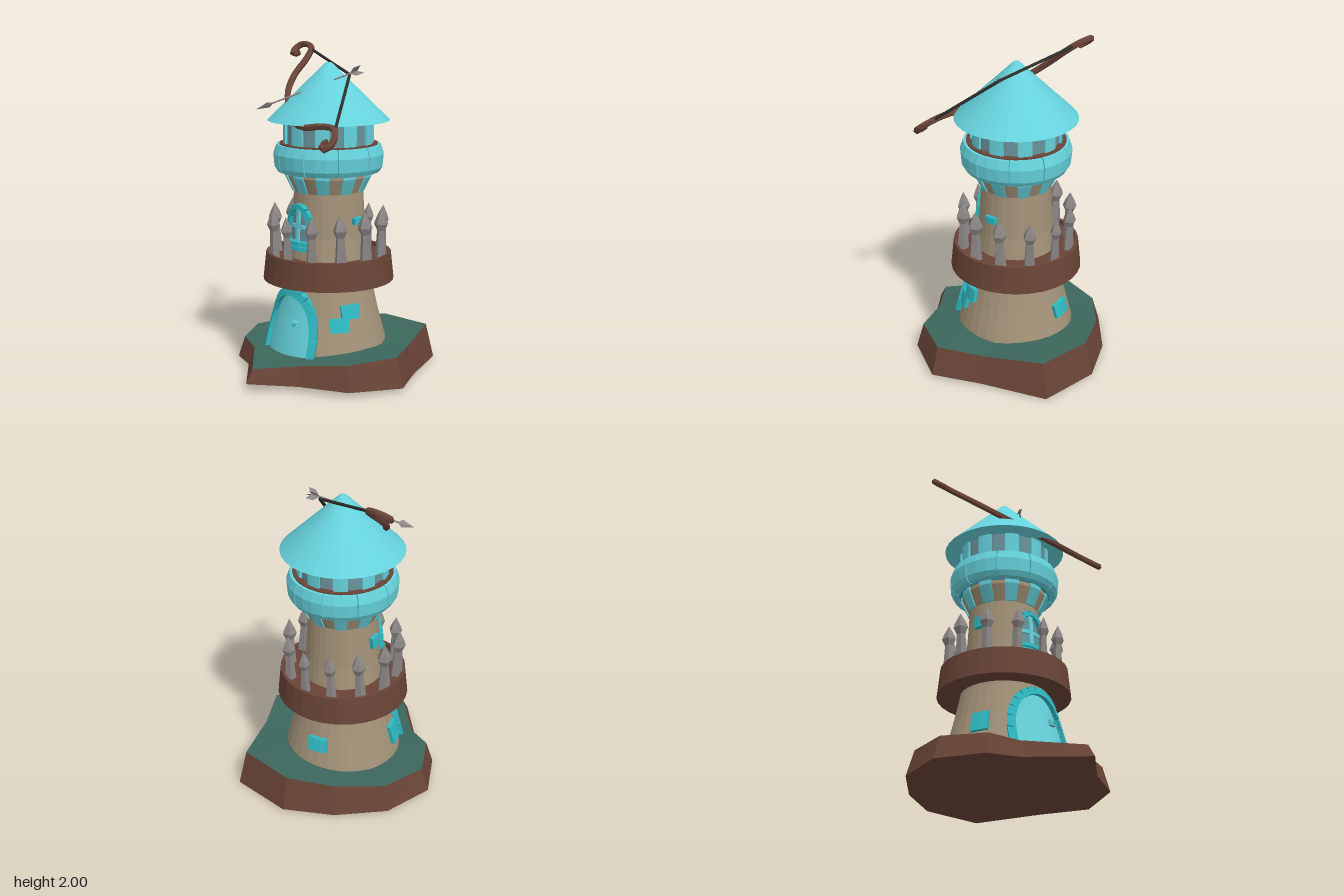
import * as THREE from 'three';
import { ParametricGeometry } from 'three/addons/geometries/ParametricGeometry.js';

const mat = (color) => new THREE.MeshStandardMaterial({ color, flatShading: true, side: THREE.DoubleSide });
const M = {
  cyan: mat(0x66d2dc), teal: mat(0x2fb8c2), stone: mat(0xa39278), brown: mat(0x6a4437),
  grass: mat(0x3c675c), metal: mat(0x8c8686), glass: mat(0x6a939c), cord: mat(0x2e2e2e),
};
const V = (x, y, z) => new THREE.Vector3(x, y, z);

function add(parent, name, geo, material) {
  const m = new THREE.Mesh(geo, material);
  m.name = name;
  parent.add(m);
  return m;
}

// Tower wall: [height, radius]
const wall = [[0.1, 0.375], [0.2, 0.352], [0.38, 0.305], [0.56, 0.265], [0.85, 0.228], [1.12, 0.212], [1.24, 0.22]];
function wallRadius(y) {
  for (let i = 1; i < wall.length; i++) {
    const [y0, r0] = wall[i - 1], [y1, r1] = wall[i];
    if (y <= y1) return r0 + (r1 - r0) * (y - y0) / (y1 - y0);
  }
  return 0.22;
}

// Wraps a flat point (x along the wall, y up, d outwards) onto the tower
function onWall(x, y, d, phi) {
  const r = wallRadius(y), a = phi + x / r;
  return V((r + d) * Math.sin(a), y, (r + d) * Math.cos(a));
}

function wallBox(parent, name, w, h, d, x, y, phi, material, turn = 0, out = 0) {
  const geo = new THREE.BoxGeometry(w, h, d, 3, 1, 1).rotateZ(turn).translate(x, y, out);
  const p = geo.attributes.position;
  for (let i = 0; i < p.count; i++) {
    const q = onWall(p.getX(i), p.getY(i), p.getZ(i), phi);
    p.setXYZ(i, q.x, q.y, q.z);
  }
  geo.computeVertexNormals();
  return add(parent, name, geo, material);
}

// Arched panel with a frame of separate blocks
function archway(parent, name, W, y0, H, phi, panelMat, blocks, thick) {
  const g = new THREE.Group();
  g.name = name;
  parent.add(g);
  const arch = (t) => [-W * Math.cos(t), y0 + H * Math.pow(Math.sin(t), 0.8)];
  add(g, name + 'Panel', new ParametricGeometry((u, v, target) => {
    const [x, y] = arch(Math.max(0, Math.min(1, u)) * Math.PI * 0.9999);
    target.copy(onWall(x, y0 + (y - y0) * v, 0.012, phi));
  }, 20, 8), panelMat);
  for (let i = 0; i < blocks; i++) {
    const [ax, ay] = arch(i / blocks * Math.PI), [bx, by] = arch((i + 1) / blocks * Math.PI * 0.9999);
    const len = Math.hypot(bx - ax, by - ay);
    wallBox(g, name + 'Block', len * 0.95, thick, 0.055, (ax + bx) / 2, (ay + by) / 2, phi, M.teal,
      Math.atan2(by - ay, bx - ax), 0.01);
  }
  return g;
}

// Closed profile swept through part of a turn, with end caps
function sector(parent, name, pts, phi, span, material, steps = 3) {
  const profile = pts.map(([r, y]) => new THREE.Vector2(r, y));
  const g = new THREE.Group();
  g.name = name;
  parent.add(g);
  add(g, name + 'Body', new THREE.LatheGeometry([...profile, profile[0]], steps, phi - span / 2, span), material);
  for (const a of [phi - span / 2, phi + span / 2]) {
    add(g, name + 'End', new THREE.ShapeGeometry(new THREE.Shape(profile)), material).rotation.y = a - Math.PI / 2;
  }
}

// Rocky mound: x, z and top height of each corner, clockwise from above
function mound(parent) {
  const rim = [
    [-0.05, -0.66, 0.21], [0.34, -0.63, 0.22], [0.505, -0.245, 0.185], [0.65, 0.03, 0.2],
    [0.495, 0.33, 0.18], [0.22, 0.46, 0.15], [-0.03, 0.655, 0.12], [-0.32, 0.37, 0.14],
    [-0.5, 0.29, 0.16], [-0.65, 0.03, 0.165], [-0.57, -0.28, 0.17], [-0.335, -0.51, 0.19],
  ];
  const top = rim.map(([x, z, y]) => V(x * 0.925, y, z * 0.925));
  const low = rim.map(([x, z]) => V(x, 0.02 + 0.03 * z, z));
  const mid = V(-0.025, 0.17, -0.04), under = V(0, 0.02, 0);
  const grass = [], rock = [];
  rim.forEach((_, i) => {
    const j = (i + 1) % rim.length;
    grass.push(mid, top[j], top[i]);
    rock.push(low[j], low[i], top[i], low[j], top[i], top[j], under, low[i], low[j]);
  });
  for (const [name, pts, m] of [['grassTop', grass, M.grass], ['rockBase', rock, M.brown]]) {
    const geo = new THREE.BufferGeometry().setFromPoints(pts);
    geo.computeVertexNormals();
    add(parent, name, geo, m);
  }
}

// Bow lies in one slanted plane
const bowPoint = ([x, z]) => V(x, 1.78 - 0.82 * z, z);
function rod(parent, name, a, b, r, material) {
  return add(parent, name, new THREE.TubeGeometry(new THREE.LineCurve3(a, b), 1, r, 6), material);
}

function bow(parent) {
  const g = new THREE.Group();
  g.name = 'bow';
  parent.add(g);
  const path = [
    [-0.42, -0.185], [-0.455, -0.165], [-0.48, -0.2], [-0.455, -0.238], [-0.4, -0.24], [-0.343, -0.215],
    [-0.315, -0.14], [-0.308, -0.035], [-0.26, 0.07], [-0.17, 0.16], [-0.03, 0.257], [0.09, 0.292],
    [0.213, 0.275], [0.318, 0.278], [0.378, 0.327], [0.39, 0.375], [0.36, 0.405], [0.329, 0.38], [0.355, 0.355],
  ].map(bowPoint);
  add(g, 'bowStave', new THREE.TubeGeometry(new THREE.CatmullRomCurve3(path), 54, 0.02, 6), M.brown);
  const nock = bowPoint([0.13, -0.06]);
  rod(g, 'bowString', bowPoint([-0.34, -0.21]), nock, 0.01, M.cord);
  rod(g, 'bowString', nock, bowPoint([0.34, 0.285]), 0.01, M.cord);

  // Arrow built along +y, then turned into place
  const tip = V(-0.275, 1.62, 0.325), tail = V(0.19, 1.86, -0.09);
  const len = tip.distanceTo(tail);
  const arrow = new THREE.Group();
  arrow.name = 'arrow';
  g.add(arrow);
  add(arrow, 'arrowShaft', new THREE.CylinderGeometry(0.005, 0.005, len - 0.05, 6).translate(0, len / 2, 0), M.metal);
  const head = add(arrow, 'arrowHead', new THREE.LatheGeometry(
    [[0, len - 0.11], [0.024, len - 0.08], [0, len]].map((p) => new THREE.Vector2(...p)), 4), M.metal);
  head.scale.z = 0.4;
  const fin = new THREE.Shape([[0, 0.07], [0.035, 0.035], [0.035, -0.01], [0, 0.02]].map((p) => new THREE.Vector2(...p)));
  for (let i = 0; i < 4; i++) add(arrow, 'arrowFin', new THREE.ShapeGeometry(fin), M.metal).rotation.y = i * Math.PI / 2;
  arrow.position.copy(tail);
  arrow.quaternion.setFromUnitVectors(V(0, 1, 0), tip.clone().sub(tail).normalize());
}

export function createModel() {
  const model = new THREE.Group();
  model.name = 'archerTower';
  mound(model);

  const tower = new THREE.Group();
  tower.name = 'tower';
  tower.position.set(-0.025, 0, -0.04);
  model.add(tower);
  const lathe = (name, pts, m, n = 32) =>
    add(tower, name, new THREE.LatheGeometry(pts.map(([r, y]) => new THREE.Vector2(r, y)), n), m);
  lathe('towerWall', wall.map(([y, r]) => [r, y]), M.stone);

  // Door, knob and arched window
  const door = archway(tower, 'door', 0.205, 0.15, 0.375, -0.09, M.cyan, 15, 0.045);
  wallBox(door, 'doorKnob', 0.038, 0.038, 0.03, 0.075, 0.34, -0.09, M.cyan, 0, 0.025);
  wallBox(door, 'doorKnobCentre', 0.018, 0.018, 0.03, 0.075, 0.34, -0.09, M.teal, 0, 0.035);
  const win = archway(tower, 'window', 0.1, 0.82, 0.225, -0.09, M.glass, 9, 0.03);
  wallBox(win, 'windowBar', 0.025, 0.22, 0.03, 0, 0.93, -0.09, M.cyan, 0, 0.01);
  wallBox(win, 'windowBar', 0.19, 0.022, 0.03, 0, 0.92, -0.09, M.cyan, 0, 0.01);
  wallBox(win, 'windowSill', 0.21, 0.025, 0.06, 0, 0.82, -0.09, M.teal, 0, 0.02);
  wallBox(win, 'windowLedge', 0.17, 0.025, 0.05, 0, 0.79, -0.09, M.teal, 0, 0.02);

  // Loose wall stones: angle, height, width, thickness up
  for (const [phi, y, w, h] of [[1.2, 0.42, 0.11, 0.08], [0.97, 0.345, 0.11, 0.08], [-1.22, 0.31, 0.1, 0.12],
    [-2.96, 0.34, 0.12, 0.08], [1.62, 0.955, 0.07, 0.04], [-1.48, 0.99, 0.07, 0.07]]) {
    wallBox(tower, 'wallStone', w, h, 0.05, 0, y, phi, M.teal, 0.04);
  }

  // Balcony with stakes
  lathe('balcony', [[0.25, 0.58], [0.403, 0.57], [0.385, 0.74], [0.365, 0.74], [0.365, 0.715], [0.22, 0.715]], M.brown);
  for (let i = 0; i < 12; i++) {
    const a = -0.06 + i * Math.PI / 6;
    const side = Math.abs(Math.sin(a)), s = 0.85 + 0.25 * side;
    const stake = add(tower, 'stake', new THREE.LatheGeometry(
      [[0, 0], [0.036, 0], [0.024, 0.165], [0.042, 0.205], [0.03, 0.24], [0, 0.3]].map((p) => new THREE.Vector2(...p)), 5), M.metal);
    stake.position.set(0.335 * Math.sin(a), 0.715, 0.335 * Math.cos(a));
    stake.rotation.set(0.04 * Math.cos(a), i * 1.3, -0.04 * Math.sin(a));
    stake.scale.set(s, 0.92 + 0.12 * side, s);
  }

  // Crown: corbels, parapet panels, piers and glass
  const step = Math.PI / 5;
  lathe('parapetCore', [[0.2, 1.235], [0.3, 1.245], [0.318, 1.27], [0.326, 1.35], [0.305, 1.395], [0.25, 1.395]], M.teal, 30);
  lathe('parapetRim', [[0.26, 1.39], [0.3, 1.39], [0.3, 1.412], [0.26, 1.412]], M.brown, 30);
  lathe('lanternGlass', [[0.262, 1.4], [0.262, 1.56]], M.glass, 30);
  for (let i = 0; i < 10; i++) {
    const a = i * step;
    sector(tower, 'corbel', [[0.19, 1.12], [0.222, 1.12], [0.268, 1.215], [0.268, 1.24], [0.19, 1.24]], a, step * 0.5, M.cyan);
    sector(tower, 'stoneCorbel', [[0.19, 1.12], [0.214, 1.12], [0.258, 1.215], [0.258, 1.24], [0.19, 1.24]], a + step / 2, step * 0.5, M.stone);
    sector(tower, 'parapetPanel', [[0.28, 1.235], [0.312, 1.24], [0.33, 1.27], [0.337, 1.35], [0.318, 1.405], [0.28, 1.405]], a, step * 0.97, M.cyan);
    sector(tower, 'lanternPier', [[0.25, 1.4], [0.276, 1.4], [0.276, 1.56], [0.25, 1.56]], a, step * 0.5, M.cyan);
  }

  // Roof
  add(tower, 'roof', new THREE.CylinderGeometry(0.018, 0.372, 0.345, 32), M.cyan).position.y = 1.7225;

  bow(model);
  return model;
}
